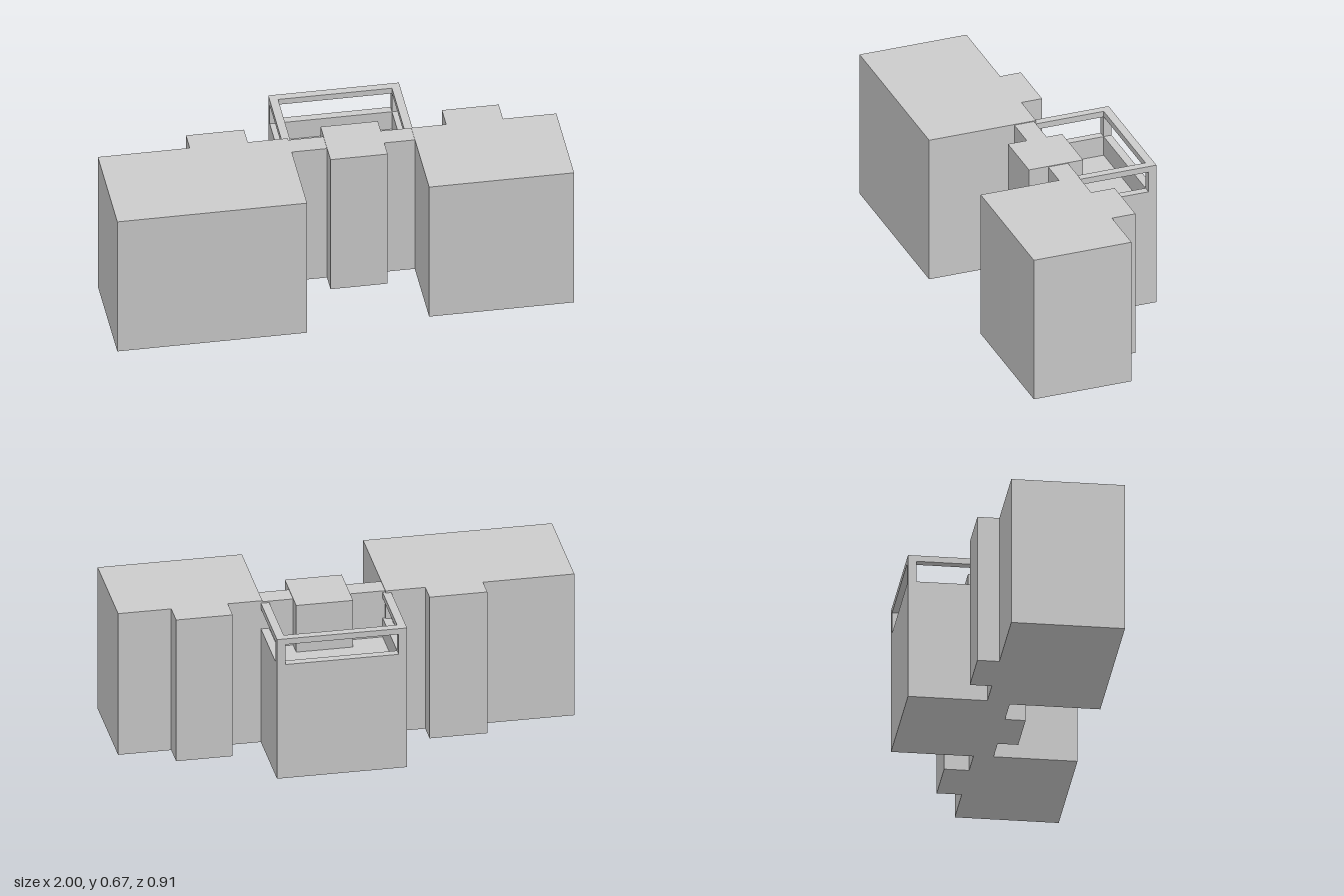
import * as THREE from 'three';

const material = new THREE.MeshStandardMaterial({ color: 0xcccccc, flatShading: true });

// Axis-aligned block given by its extents
function block(parent, name, x0, x1, y0, y1, z0, z1) {
  const mesh = new THREE.Mesh(new THREE.BoxGeometry(x1 - x0, y1 - y0, z1 - z0), material);
  mesh.name = name;
  mesh.position.set((x0 + x1) / 2, (y0 + y1) / 2, (z0 + z1) / 2);
  parent.add(mesh);
}

export function createModel() {
  const group = new THREE.Group();
  group.name = 'building';
  const plan = new THREE.Group();
  plan.name = 'floorPlan';
  plan.rotation.y = 0.0615; // whole plan is turned slightly
  group.add(plan);
  const H = 0.672;

  // Wings, each with a shaft projecting from the back
  block(plan, 'rightWing', -0.996, -0.178, 0, H, -0.097, 0.39);
  block(plan, 'rightWingShaft', -0.6, -0.35, 0, H, -0.191, -0.09);
  block(plan, 'leftWing', 0.353, 0.978, 0, H, -0.084, 0.361);
  block(plan, 'leftWingShaft', 0.503, 0.748, 0, H, -0.191, -0.08);

  // Narrow link and the stair core passing through it
  block(plan, 'link', -0.18, 0.355, 0, H - 0.003, -0.088, 0.002);
  block(plan, 'stairCore', -0.0255, 0.221, 0, H, -0.157, 0.09);

  // Rear terrace: solid base, parapet, corner posts and top rail
  const x0 = -0.203, x1 = 0.36, z0 = -0.437, z1 = -0.085, t = 0.036;
  block(plan, 'terraceBase', x0, x1, 0, 0.45, z0, z1);
  for (const [name, y0, y1] of [['parapet', 0.45, 0.54], ['topRail', 0.635, 0.662]]) {
    block(plan, name + 'Back', x0, x1, y0, y1, z0, z0 + t);
    block(plan, name + 'Right', x0, x0 + t, y0, y1, z0 + t, z1);
    block(plan, name + 'Left', x1 - t, x1, y0, y1, z0 + t, z1);
  }
  for (const x of [x0, x1 - t]) block(plan, 'cornerPost', x, x + t, 0.54, 0.635, z0, z0 + t);

  return group;
}
